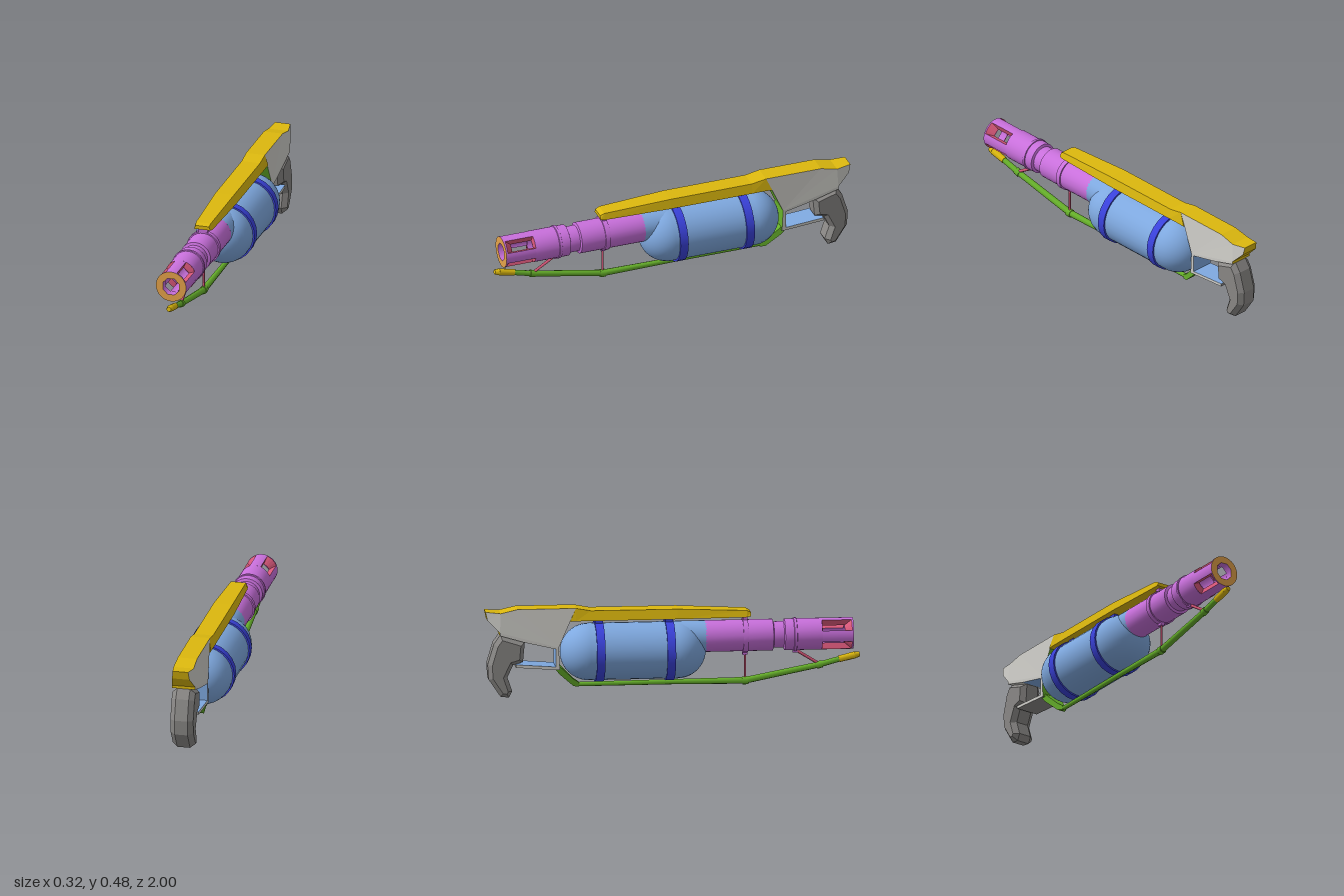
import * as THREE from 'three';
import { toCreasedNormals } from 'three/addons/utils/BufferGeometryUtils.js';

const mat = (name, color, side = THREE.FrontSide) => {
  const m = new THREE.MeshStandardMaterial({ color, side });
  m.name = name;
  return m;
};

export function createModel() {
  const group = new THREE.Group();
  const M = {
    tank: mat('light blue', 0x7fa9e0),
    band: mat('deep blue', 0x3a42dc),
    pink: mat('orchid', 0xc970dc, THREE.DoubleSide),
    red: mat('rose red', 0xd9587a, THREE.DoubleSide),
    orange: mat('orange', 0xe5a34a),
    yellow: mat('yellow', 0xdcb80e),
    green: mat('green', 0x66b02a),
    light: mat('light grey', 0xcfcec9),
    dark: mat('dark grey', 0x8a8886),
  };
  const add = (name, geo, material) => {
    const m = new THREE.Mesh(geo, material);
    m.name = name;
    group.add(m);
    return m;
  };
  // flat-shaded geometry from a list of four-cornered faces
  const quads = (list) => {
    const pos = [];
    for (const [a, b, c, d] of list) pos.push(...a, ...b, ...c, ...a, ...c, ...d);
    const g = new THREE.BufferGeometry();
    g.setAttribute('position', new THREE.Float32BufferAttribute(pos, 3));
    g.computeVertexNormals();
    return g;
  };
  // trapezoid sections [z, bottom, top, half width below, half width above], front to back
  const loft = (sections) => {
    const rings = sections.map(([z, y0, y1, wb, wt]) =>
      [[-wb, y0, z], [wb, y0, z], [wt, y1, z], [-wt, y1, z]]);
    const faces = [rings[0], [...rings[rings.length - 1]].reverse()];
    for (let s = 0; s + 1 < rings.length; s++)
      for (let i = 0; i < 4; i++) {
        const j = (i + 1) % 4;
        faces.push([rings[s][i], rings[s + 1][i], rings[s + 1][j], rings[s][j]]);
      }
    return quads(faces);
  };
  // rod in the centre plane between two [z, y] points
  const rod = (name, a, b, ra, rb, material, sides = 8) => {
    const p = new THREE.Vector3(0, a[1], a[0]), q = new THREE.Vector3(0, b[1], b[0]);
    const m = add(name, new THREE.CylinderGeometry(rb, ra, p.distanceTo(q), sides), material);
    m.position.copy(p).add(q).multiplyScalar(0.5);
    m.quaternion.setFromUnitVectors(new THREE.Vector3(0, 1, 0), q.sub(p).normalize());
    return m;
  };

  // Tank with its two bands and the neck behind the barrel
  const TY = 0.233, BY = 0.303, R = 0.084;
  add('tank', new THREE.CapsuleGeometry(0.152, 0.472, 10, 28).rotateX(Math.PI / 2), M.tank)
    .position.set(0, TY, -0.212);
  add('tankNeck', new THREE.CylinderGeometry(R, R, 0.2, 28).rotateX(Math.PI / 2), M.tank)
    .position.set(0, BY, 0.076);
  for (const z of [-0.02, -0.395]) {
    add('tankBand', new THREE.CylinderGeometry(0.161, 0.161, 0.045, 24).rotateX(Math.PI / 2), M.band)
      .position.set(0, TY, z);
    add('bandMount', new THREE.BoxGeometry(0.06, 0.04, 0.04), M.band).position.set(0, 0.397, z);
  }

  // Barrel body with collars and a groove
  const profile = [[R, 0.17], [R, 0.37], [0.091, 0.37], [0.091, 0.397], [R, 0.397], [R, 0.53],
    [0.07, 0.535], [0.07, 0.588], [R, 0.593], [R, 0.64], [0.089, 0.642], [0.089, 0.655],
    [R, 0.657], [R, 0.79]].map(([r, z]) => new THREE.Vector2(r, z));
  add('barrel', toCreasedNormals(new THREE.LatheGeometry(profile, 32).rotateX(Math.PI / 2), 0.5), M.pink)
    .position.y = BY;
  add('barrelMount', new THREE.BoxGeometry(0.05, 0.035, 0.025), M.pink).position.set(0, 0.4, 0.384);
  const tube = (name, r, z0, z1, sides, start = 0, arc = Math.PI * 2) =>
    add(name, new THREE.CylinderGeometry(r, r, z1 - z0, sides, 1, true, start, arc).rotateX(Math.PI / 2), M.pink)
      .position.set(0, BY, (z0 + z1) / 2);
  tube('muzzleLip', R, 0.948, 0.957, 32);
  tube('boreRear', 0.049, 0.176, 0.795, 8, Math.PI / 8);
  tube('boreFront', 0.049, 0.912, 0.957, 8, Math.PI / 8);

  // Muzzle: four rails and four diagonal slots with rose walls
  const half = 0.37, inner = 0.05;
  const P = (r, a, z) => [r * Math.sin(a), BY + r * Math.cos(a), z];
  for (let k = 0; k < 4; k++) {
    const c = k * Math.PI / 2;
    tube('muzzleRail', R, 0.79, 0.948, 4, c - half, half * 2);
    tube('muzzleRailInside', inner, 0.795, 0.912, 4, c - half, half * 2);
    const a0 = c + half, a1 = c + Math.PI / 2 - half, faces = [];
    for (const a of [a0, a1])
      faces.push([P(R, a, 0.79), P(R, a, 0.948), P(inner, a, 0.912), P(inner, a, 0.795)]);
    for (let i = 0; i < 4; i++) {
      const s = a0 + (a1 - a0) * i / 4, e = a0 + (a1 - a0) * (i + 1) / 4;
      for (const [zo, zi] of [[0.79, 0.795], [0.948, 0.912]])
        faces.push([P(R, s, zo), P(R, e, zo), P(inner, e, zi), P(inner, s, zi)]);
    }
    add('muzzleSlot', quads(faces), M.red);
  }
  const ring = (r, n, off) => Array.from({ length: n }, (_, i) => {
    const a = off + i * Math.PI * 2 / n;
    return new THREE.Vector2(r * Math.cos(a), r * Math.sin(a));
  });
  const face = new THREE.Shape(ring(R, 32, 0));
  face.holes.push(new THREE.Path(ring(0.049, 8, Math.PI / 8)));
  add('muzzleFace', new THREE.ShapeGeometry(face), M.orange).position.set(0, BY, 0.957);

  // Top rail
  add('topRail', loft([
    [0.412, 0.414, 0.434, 0.046, 0.037], [0.39, 0.41, 0.445, 0.05, 0.041],
    [0.02, 0.41, 0.462, 0.062, 0.051], [-0.44, 0.41, 0.463, 0.062, 0.051],
    [-0.52, 0.41, 0.478, 0.0615, 0.052], [-0.55, 0.408, 0.412, 0.0615, 0.061],
  ]), M.yellow);

  // Stock: one outline of [z, y] points, coloured by edge run
  const hw = (z, y) => (0.063 - Math.max(0, y - 0.4) * 0.14) * (z < -0.95 ? 0.78 : 1);
  const runs = [
    ['stockTop', M.yellow, [[-0.52, 0.478], [-0.83, 0.478], [-0.92, 0.458], [-1, 0.465],
      [-0.99, 0.42], [-0.925, 0.355], [-0.925, 0.34]]],
    ['stockUnderside', M.light, [[-0.925, 0.34], [-0.79, 0.3]]],
    ['guardLining', M.tank, [[-0.79, 0.3], [-0.628, 0.262], [-0.628, 0.166], [-0.84, 0.182]]],
    ['guardUnderside', M.dark, [[-0.84, 0.182], [-0.84, 0.166], [-0.606, 0.148]]],
    ['stockFront', M.green, [[-0.606, 0.148], [-0.612, 0.27], [-0.52, 0.478]]],
  ];
  const outline = [];
  for (const [name, material, pts] of runs) {
    const faces = [];
    for (let i = 0; i + 1 < pts.length; i++) {
      const [a, b] = [pts[i], pts[i + 1]];
      const at = (p, s) => [s * hw(...p), p[1], p[0]];
      faces.push([at(a, -1), at(a, 1), at(b, 1), at(b, -1)]);
      outline.push(new THREE.Vector2(...a));
    }
    add(name, quads(faces), material);
  }
  for (const s of [1, -1]) {
    const g = new THREE.ShapeGeometry(new THREE.Shape(outline));
    const p = g.attributes.position;
    for (let i = 0; i < p.count; i++) {
      const z = p.getX(i), y = p.getY(i);
      p.setXYZ(i, s * hw(z, y), y, z);
    }
    if (s > 0) g.index.array.reverse();
    const flat = g.toNonIndexed();
    flat.computeVertexNormals();
    add(s > 0 ? 'stockSideLeft' : 'stockSideRight', flat, M.light);
  }

  // Grip with chamfered edges
  const gripShape = new THREE.Shape([[-0.79, 0.298], [-0.92, 0.34], [-0.955, 0.29], [-0.988, 0.18],
    [-0.983, 0.1], [-0.92, 0.006], [-0.875, 0], [-0.857, 0.035], [-0.883, 0.11],
    [-0.852, 0.175], [-0.8, 0.19]].map((p) => new THREE.Vector2(...p)));
  add('grip', new THREE.ExtrudeGeometry(gripShape, { depth: 0.07, bevelThickness: 0.027,
    bevelSize: 0.022, bevelOffset: -0.022, bevelSegments: 1 })
    .translate(0, 0, -0.035).rotateY(-Math.PI / 2), M.dark);

  // Lower pipe, its collars, tip and flare into the guard
  const path = [[0.89, 0.165, 0.015], [0.78, 0.136, 0.016], [0.385, 0.059, 0.018],
    [0.01, 0.06, 0.014], [-0.515, 0.058, 0.012]];
  for (let i = 0; i + 1 < path.length; i++)
    rod('lowerPipe', path[i], path[i + 1], path[i][2], path[i + 1][2], M.green);
  rod('pipeCollar', [0.795, 0.14], [0.765, 0.132], 0.02, 0.02, M.green);
  rod('pipeCollar', [0.4, 0.06], [0.37, 0.058], 0.022, 0.022, M.green);
  rod('pipeTip', [0.995, 0.188], [0.97, 0.184], 0.013, 0.019, M.yellow);
  rod('pipeTip', [0.97, 0.184], [0.885, 0.164], 0.019, 0.018, M.yellow);
  add('pipeFlare', loft([[-0.5, 0.046, 0.07, 0.012, 0.012], [-0.53, 0.052, 0.09, 0.022, 0.022],
    [-0.606, 0.122, 0.166, 0.05, 0.05], [-0.627, 0.148, 0.164, 0.055, 0.055]]), M.green);

  // Struts between the pipe and the barrel
  rod('strut', [0.385, 0.07], [0.385, 0.225], 0.006, 0.006, M.red, 6);
  rod('strut', [0.78, 0.14], [0.648, 0.222], 0.008, 0.008, M.red, 6);
  add('strutClamp', new THREE.BoxGeometry(0.025, 0.025, 0.025), M.pink).position.set(0, 0.212, 0.384);
  add('strutClamp', new THREE.BoxGeometry(0.025, 0.02, 0.025), M.pink).position.set(0, 0.217, 0.65);
  return group;
}
